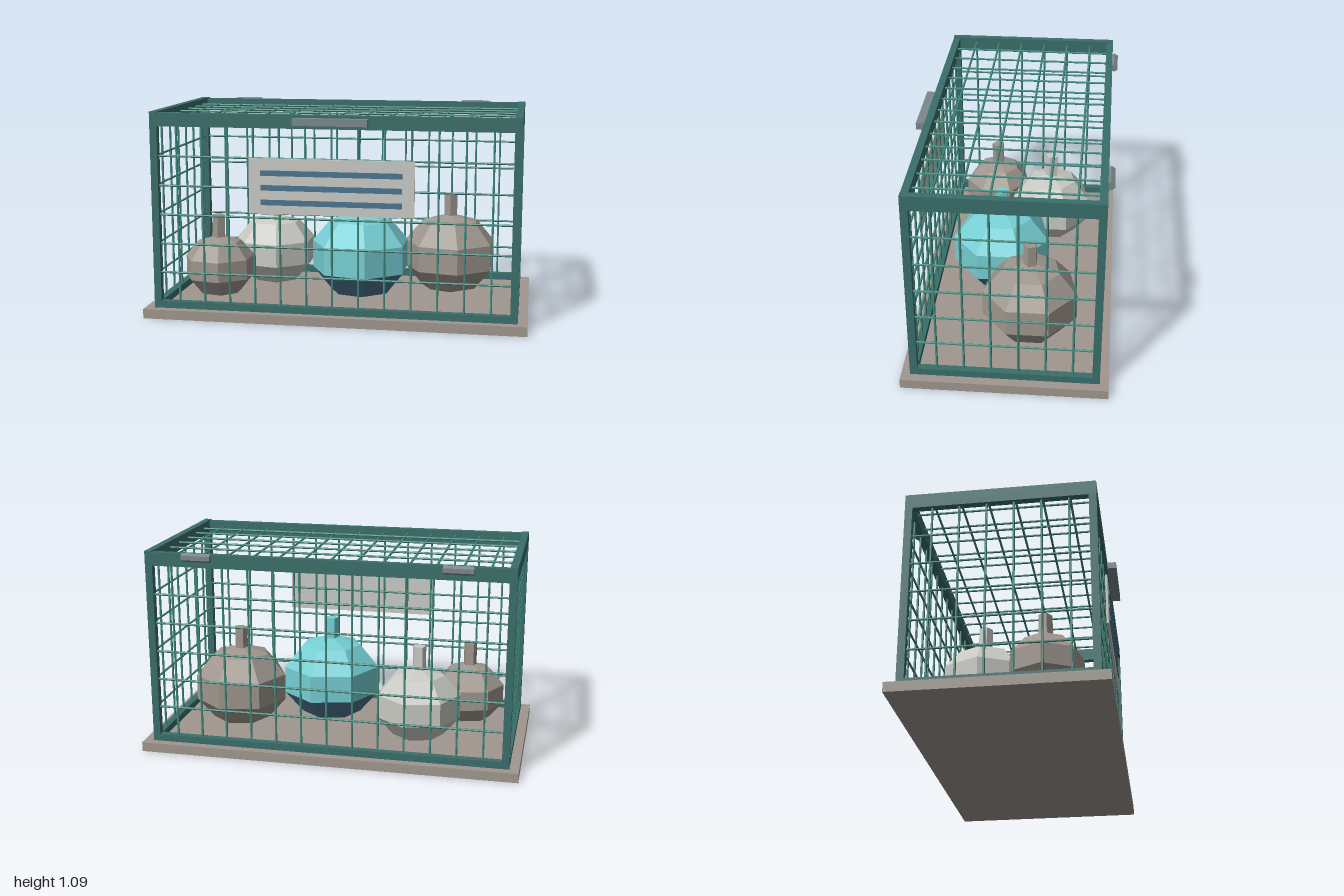
import * as THREE from 'three';

const mat = (name, color) => {
  const m = new THREE.MeshStandardMaterial({ color });
  m.name = name;
  return m;
};

export function createModel() {
  const root = new THREE.Group();
  root.name = 'gourdCage';
  const stone = mat('warm grey', 0x9f978f);
  const frameMat = mat('dark teal', 0x3a6e6a);
  const barMat = mat('teal wire', 0x438a7e);
  const cyan = mat('cyan', 0x76cfd4);
  const blue = mat('slate blue', 0x4a7590);
  const pale = mat('pale grey', 0xc9c9c4);
  const metal = mat('steel grey', 0x7a878b);

  const group = (name) => {
    const g = new THREE.Group();
    g.name = name;
    root.add(g);
    return g;
  };
  // faceted mesh
  const add = (parent, name, geo, material, x, y, z) => {
    const g = geo.toNonIndexed();
    g.computeVertexNormals();
    const m = new THREE.Mesh(g, material);
    m.name = name;
    m.position.set(x, y, z);
    parent.add(m);
    return m;
  };
  const box = (parent, name, material, w, h, d, x, y, z) =>
    add(parent, name, new THREE.BoxGeometry(w, h, d), material, x, y, z);

  // base slab
  box(root, 'base', stone, 2, 0.05, 1.04, 0, 0.025, 0);

  // frame: posts, bottom rails and lid rails
  const frame = group('frame');
  const X = 0.95, Z = 0.475, T = 0.038;
  for (const s of [-1, 1]) {
    for (const t of [-1, 1]) {
      box(frame, 'cornerPost', frameMat, T, 0.965, T, s * (X - T / 2), 0.5325, t * (Z - T / 2));
    }
    box(frame, 'bottomLongRail', frameMat, 2 * X - 2 * T, 0.037, T, 0, 0.0685, s * (Z - T / 2));
    box(frame, 'bottomShortRail', frameMat, T, 0.037, 2 * Z - 2 * T, s * (X - T / 2), 0.0685, 0);
    box(frame, 'lidLongRail', frameMat, 2 * X - 2 * T, 0.07, T, 0, 1.048, s * (Z - T / 2));
    box(frame, 'lidShortRail', frameMat, T, 0.076, 2 * Z, s * (X - T / 2), 1.05, 0);
  }

  // wire mesh
  const wires = group('wireMesh');
  const bar = (axis, len, x, y, z) => {
    const g = new THREE.CylinderGeometry(0.006, 0.006, len, 6);
    if (axis === 'x') g.rotateZ(Math.PI / 2);
    if (axis === 'z') g.rotateX(Math.PI / 2);
    add(wires, 'wire', g, barMat, x, y, z);
  };
  const xs = Array.from({ length: 13 }, (_, i) => (i - 6) * 0.1357);
  const zs = Array.from({ length: 6 }, (_, i) => (i - 2.5) * 0.1357);
  const ys = Array.from({ length: 5 }, (_, i) => 0.24 + i * 0.1543);
  const wx = X - T / 2, wz = Z - T / 2, topY = 1.055;
  for (const s of [-1, 1]) {
    for (const x of xs) bar('y', 0.96, x, 0.55, s * wz);
    for (const z of zs) bar('y', 0.96, s * wx, 0.55, z);
    for (const y of ys) {
      bar('x', 2 * wx, 0, y, s * wz);
      bar('z', 2 * wz, s * wx, y, 0);
    }
  }
  for (const x of xs) bar('z', 2 * wz, x, topY, 0);
  for (const z of zs) bar('x', 2 * wx, 0, topY, z);

  // gourds: squashed seven-sided bodies with a stem
  const gourd = (name, x, z, r, ry, stemTop, upper, lower) => {
    const g = group(name);
    const half = (start, end, rows) => {
      const s = new THREE.SphereGeometry(r, 7, rows, 0, Math.PI * 2, start * Math.PI, (end - start) * Math.PI);
      return s.scale(1, ry / r, 1);
    };
    add(g, 'upperBody', half(0, 0.6, 3), upper, x, 0.05 + ry, z);
    add(g, 'lowerBody', half(0.6, 1, 2), lower, x, 0.05 + ry, z);
    const y0 = 2 * ry;
    add(g, 'stem', new THREE.CylinderGeometry(0.037, 0.037, stemTop - y0, 5), upper, x, (stemTop + y0) / 2, z);
  };
  gourd('centreGourd', 0.095, 0.09, 0.28, 0.24, 0.635, cyan, blue);
  gourd('leftGourd', 0.565, -0.1, 0.263, 0.225, 0.605, stone, stone);
  gourd('paleGourd', -0.435, -0.15, 0.237, 0.203, 0.572, pale, pale);
  gourd('smallGourd', -0.672, 0.187, 0.2, 0.172, 0.507, stone, stone);

  // sign with three painted lines
  const sign = group('sign');
  box(sign, 'signBoard', pale, 0.85, 0.285, 0.012, 0, 0.717, 0.479);
  for (let i = 0; i < 3; i++) {
    box(sign, 'signLine', blue, 0.726, 0.028, 0.006, 0, 0.635 + i * 0.0755, 0.487);
  }

  // front latch and rear hinges
  box(root, 'latch', metal, 0.38, 0.036, 0.05, 0, 1.051, 0.498);
  for (const s of [-1, 1]) {
    const h = new THREE.CylinderGeometry(0.023, 0.023, 0.152, 6).rotateZ(Math.PI / 2);
    h.rotateX(Math.PI / 6);
    add(root, 'hinge', h, metal, s * 0.667, 1.067, -0.485);
  }
  return root;
}
